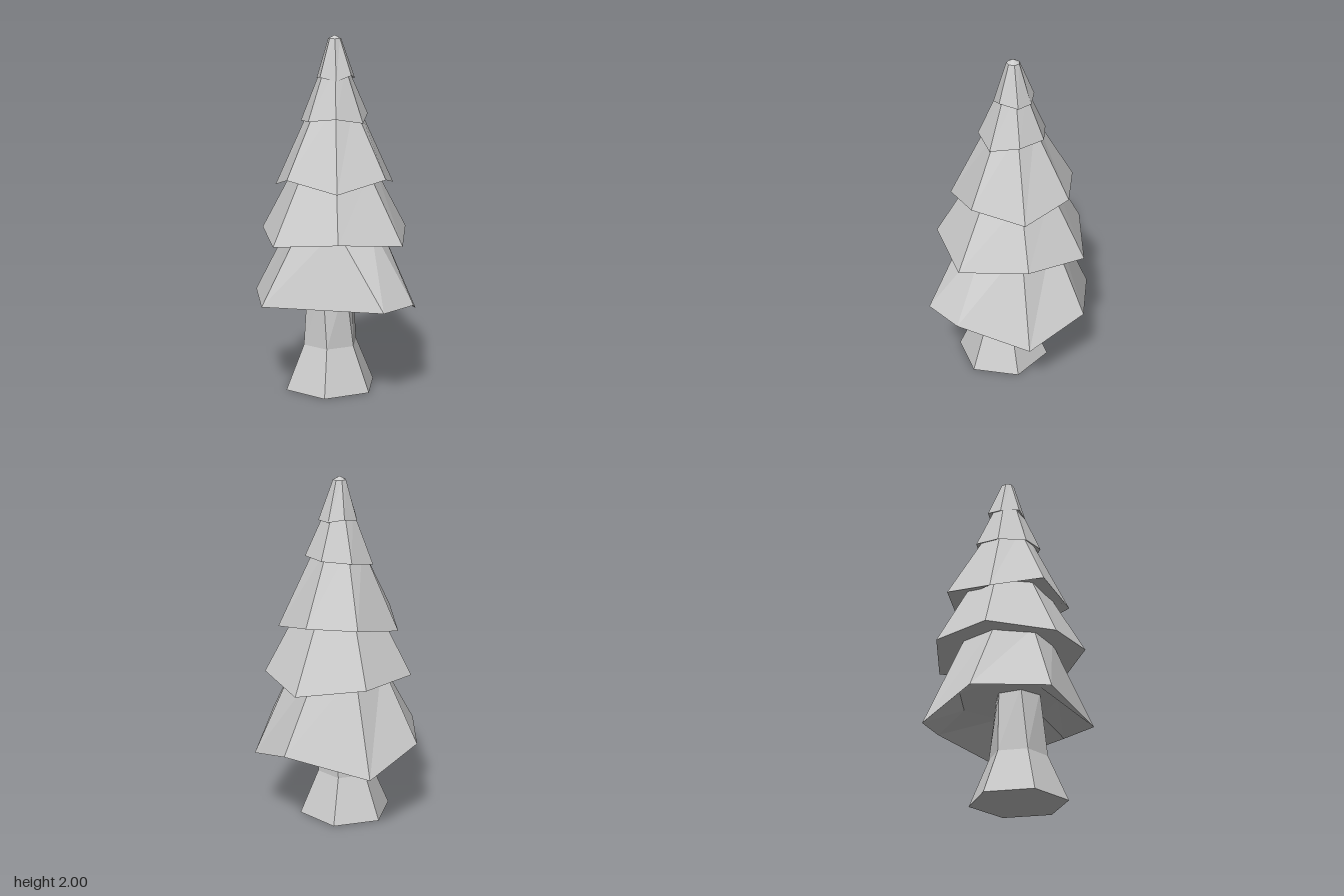
import * as THREE from 'three';

const material = new THREE.MeshStandardMaterial({ color: 0xcccccc, flatShading: true });

// regular ring of corners, starting at the front and turning towards +x
function ring(sides, r, y, cx, cz, turn = 0) {
  return Array.from({ length: sides }, (_, i) => {
    const a = (i / sides) * Math.PI * 2 + turn;
    return [cx + r * Math.sin(a), y, cz + r * Math.cos(a)];
  });
}

// skin through a stack of rings with equal corner counts
function loft(name, rings) {
  const pos = [];
  for (let k = 0; k < rings.length - 1; k++) {
    const lo = rings[k], hi = rings[k + 1], n = lo.length;
    for (let i = 0; i < n; i++) {
      const j = (i + 1) % n;
      pos.push(...lo[i], ...lo[j], ...hi[j], ...lo[i], ...hi[j], ...hi[i]);
    }
  }
  const geo = new THREE.BufferGeometry();
  geo.setAttribute('position', new THREE.Float32BufferAttribute(pos, 3));
  geo.computeVertexNormals();
  const mesh = new THREE.Mesh(geo, material);
  mesh.name = name;
  return mesh;
}

const CX = -0.015, CZ = -0.03;

// foliage tiers: uneven rim corners, recessed underside (radius, height), top (radius, height)
const TIERS = [
  { under: [0.28, 0.6], top: [0.25, 0.95], rim: [
    [0.015, 0.53, 0.49], [0.37, 0.4, 0.275], [0.475, 0.51, -0.08], [0.2, 0.4, -0.47],
    [-0.17, 0.515, -0.49], [-0.475, 0.515, -0.195], [-0.23, 0.53, 0.46]] },
  { under: [0.25, 0.92], top: [0.235, 1.25], rim: [
    [-0.015, 0.86, 0.435], [0.32, 0.9, 0.23], [0.43, 0.86, -0.125], [0.17, 0.9, -0.41],
    [-0.2, 0.9, -0.41], [-0.455, 0.86, -0.125], [-0.355, 0.9, 0.245]] },
  { under: [0.2, 1.24], top: [0.13, 1.62], rim: [
    [-0.015, 1.22, 0.32], [0.255, 1.16, 0.185], [0.325, 1.22, -0.105], [0.165, 1.22, -0.34],
    [-0.165, 1.15, -0.34], [-0.355, 1.22, -0.105], [-0.29, 1.16, 0.19]] },
  { under: [0.11, 1.58], top: [0.075, 1.82], rim: [
    [-0.015, 1.52, 0.165], [0.135, 1.56, 0.09], [0.17, 1.56, -0.07], [0.07, 1.55, -0.205],
    [-0.1, 1.52, -0.205], [-0.2, 1.53, -0.075], [-0.165, 1.55, 0.09]] },
  { under: [0.06, 1.79], top: [0.037, 1.98], tip: 2, rim: [
    [-0.015, 1.78, 0.085], [0.08, 1.76, 0.04], [0.095, 1.76, -0.05], [0.05, 1.78, -0.13],
    [-0.05, 1.76, -0.13], [-0.125, 1.77, -0.05], [-0.095, 1.75, 0.04]] },
];

export function createModel() {
  const tree = new THREE.Group();
  tree.name = 'tree';

  // flared, slightly twisted six-sided trunk
  const trunk = (r, y, turn) => ring(6, r, y, -0.08, -0.015, turn);
  tree.add(loft('trunk', [
    trunk(0, 0, 0), trunk(0.272, 0, 0), trunk(0.163, 0.255, 0), trunk(0.13, 0.62, -0.2),
  ]));

  // stacked seven-sided foliage
  TIERS.forEach(({ under, top, rim, tip }, i) => {
    const seven = (r, y) => ring(7, r, y, CX, CZ);
    tree.add(loft('foliageTier' + (i + 1), [
      seven(0, under[1]), seven(...under), rim, seven(...top), seven(0, tip ?? top[1]),
    ]));
  });
  return tree;
}
